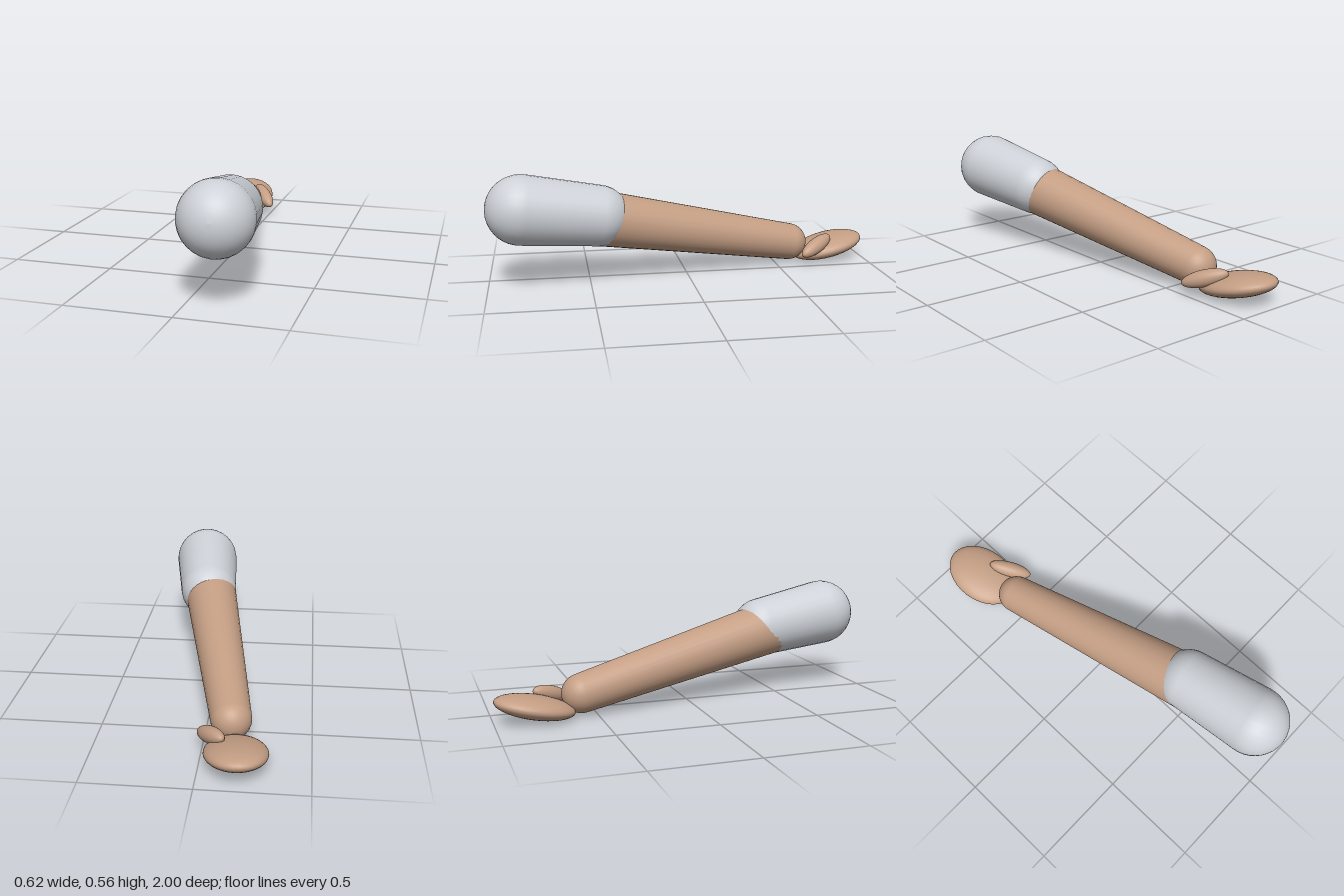
import * as THREE from 'three';

const UP = new THREE.Vector3(0, 1, 0);
const V = (x, y, z) => new THREE.Vector3(x, y, z);

// Round-ended limb from point a (radius ra) to point b (radius rb), with tangent sides
function limb(name, a, ra, b, rb, material) {
  const axis = b.clone().sub(a);
  const length = axis.length();
  const tilt = Math.asin((ra - rb) / length);
  const profile = [];
  const steps = 10;
  const arc = (from, to, radius, y) => {
    for (let i = 0; i <= steps; i++) {
      const t = from + (to - from) * i / steps;
      profile.push(new THREE.Vector2(Math.max(0, radius * Math.cos(t)), y + radius * Math.sin(t)));
    }
  };
  arc(-Math.PI / 2, tilt, ra, 0);
  arc(tilt, Math.PI / 2, rb, length);
  const mesh = new THREE.Mesh(new THREE.LatheGeometry(profile, 28), material);
  mesh.name = name;
  mesh.position.copy(a);
  mesh.quaternion.setFromUnitVectors(UP, axis.normalize());
  return mesh;
}

// Stretched sphere whose long local z axis points along dir
function ellipsoid(name, center, radii, dir, material) {
  const mesh = new THREE.Mesh(new THREE.SphereGeometry(1, 32, 20), material);
  mesh.name = name;
  mesh.position.copy(center);
  mesh.scale.copy(radii);
  mesh.lookAt(center.clone().add(dir));
  return mesh;
}

export function createModel() {
  const group = new THREE.Group();
  group.name = 'arm';
  const skin = new THREE.MeshStandardMaterial({ color: 0xc49e84 });
  skin.name = 'skin';
  const cloth = new THREE.MeshStandardMaterial({ color: 0xcdd1d7 });
  cloth.name = 'sleeve cloth';

  group.add(
    // Upper arm sleeve
    limb('sleeve', V(0.14, 0.392, 0.828), 0.172, V(0.09, 0.339, 0.455), 0.152, cloth),
    // Bare forearm
    limb('forearm', V(0.088, 0.334, 0.5), 0.141, V(-0.125, 0.11, -0.575), 0.097, skin),
    // Flat hand, tipped slightly upward at the fingers
    ellipsoid('hand', V(-0.166, 0.072, -0.806), V(0.145, 0.056, 0.2), V(-0.16, 0.22, -0.96), skin),
    // Thumb
    ellipsoid('thumb', V(-0.045, 0.1, -0.711), V(0.04, 0.04, 0.115), V(-0.535, 0.31, -0.785), skin),
  );
  return group;
}
